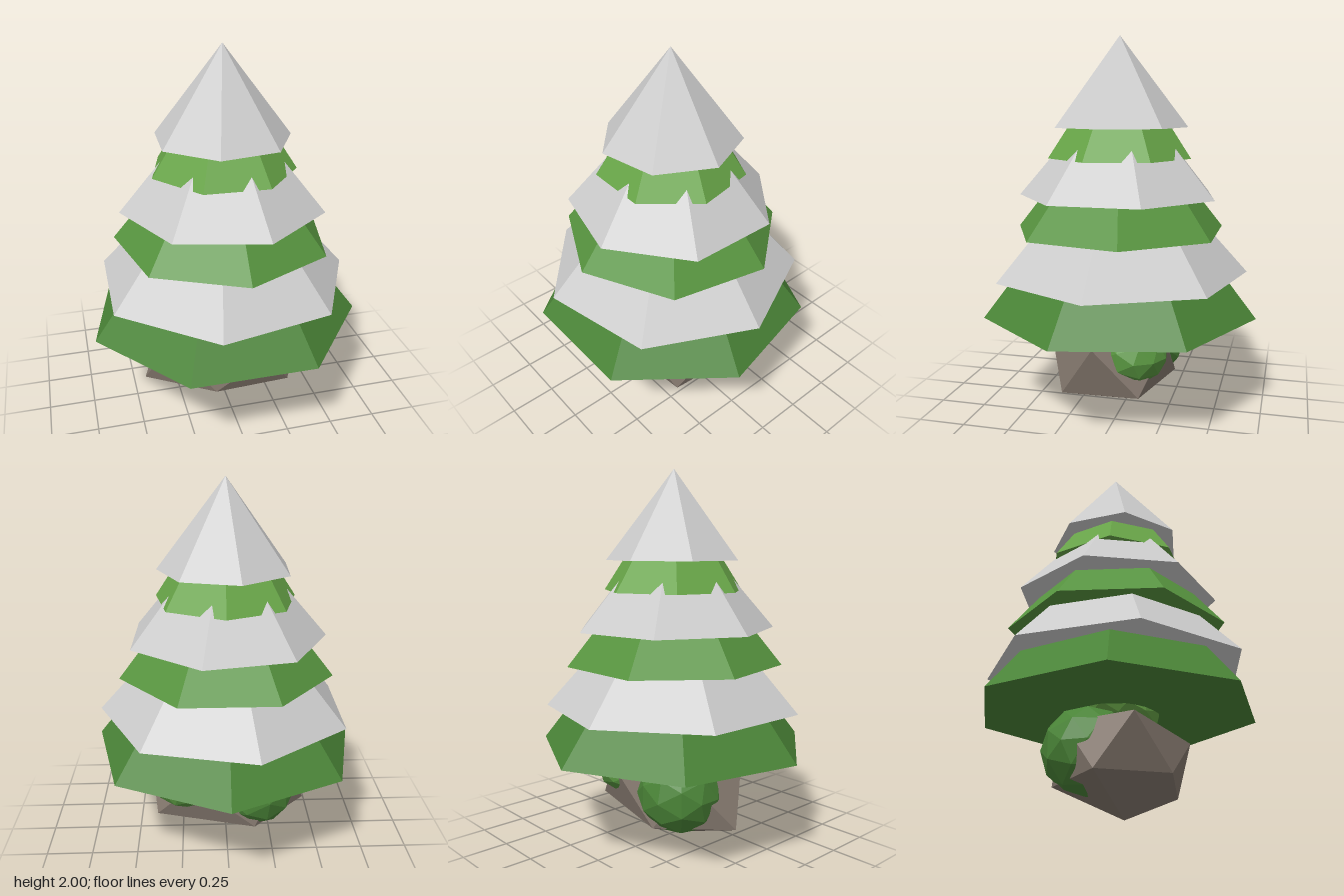
import * as THREE from 'three';

const GREY = 0xcccccc;
const AXIS_Z = 0.03; // trunk axis sits slightly in front of the centre

const flat = (color) => new THREE.MeshStandardMaterial({ color, flatShading: true });

// Seven-sided tier; angle is that of its first corner, turning from +x to +z
function tier(name, color, baseY, apexY, radius, angle) {
  const geo = new THREE.ConeGeometry(radius, apexY - baseY, 7, 1, false, Math.PI / 2 - angle);
  const mesh = new THREE.Mesh(geo, flat(color));
  mesh.name = name;
  mesh.position.set(0, (baseY + apexY) / 2, AXIS_Z);
  return mesh;
}

// Irregular twenty-sided rock: two poles and two staggered rings of five
function rock() {
  const top = [0, 0.41, 0], bottom = [-0.02, 0, 0.07];
  const upper = [[-0.34, 0.435, 0.21], [0.15, 0.395, 0.375], [0.43, 0.44, 0.07], [0.18, 0.42, -0.26], [-0.3, 0.42, -0.15]];
  const lower = [[-0.105, 0.19, 0.33], [0.325, 0.155, 0.265], [0.385, 0.19, -0.16], [-0.15, 0.15, -0.255], [-0.455, 0.15, 0.05]];
  const pos = [];
  for (let i = 0; i < 5; i++) {
    const j = (i + 1) % 5;
    pos.push(top, upper[i], upper[j]);
    pos.push(upper[i], lower[i], upper[j]);
    pos.push(lower[i], lower[j], upper[j]);
    pos.push(bottom, lower[j], lower[i]);
  }
  const geo = new THREE.BufferGeometry();
  geo.setAttribute('position', new THREE.Float32BufferAttribute(pos.flat(), 3));
  geo.computeVertexNormals();
  const mesh = new THREE.Mesh(geo, flat(0x82766c));
  mesh.name = 'rock';
  return mesh;
}

// Faceted leaf clump
function clump(name, color, center, radii, turn) {
  const mesh = new THREE.Mesh(new THREE.IcosahedronGeometry(1, 1), flat(color));
  mesh.name = name;
  mesh.position.set(...center);
  mesh.scale.set(...radii);
  mesh.rotation.y = turn;
  return mesh;
}

export function createModel() {
  const group = new THREE.Group();
  group.name = 'snowyTree';

  // Foliage and snow tiers, bottom to top
  const down = -Math.PI / 2;
  group.add(
    tier('lowerFoliage', 0x4a8437, 0.53, 1.48, 0.74, down),
    tier('lowerSnow', GREY, 0.75, 1.52, 0.69, 0.015),
    tier('middleFoliage', 0x57943f, 0.98, 1.7, 0.58, -down),
    tier('middleSnow', GREY, 1.17, 1.8, 0.54, Math.PI + 0.02),
    tier('upperFoliage', 0x68a548, 1.37, 1.95, 0.383, down + 0.03),
    tier('topSnow', GREY, 1.53, 2.0, 0.36, 0.04)
  );

  // Base
  group.add(
    rock(),
    clump('backClump', 0x4a8437, [-0.16, 0.31, -0.07], [0.23, 0.22, 0.23], 0.3),
    clump('sideClump', 0x57943f, [0.21, 0.37, -0.08], [0.21, 0.16, 0.19], 0.8),
    clump('topClump', 0x68a548, [0.03, 0.54, 0.01], [0.24, 0.09, 0.24], 0)
  );
  return group;
}
